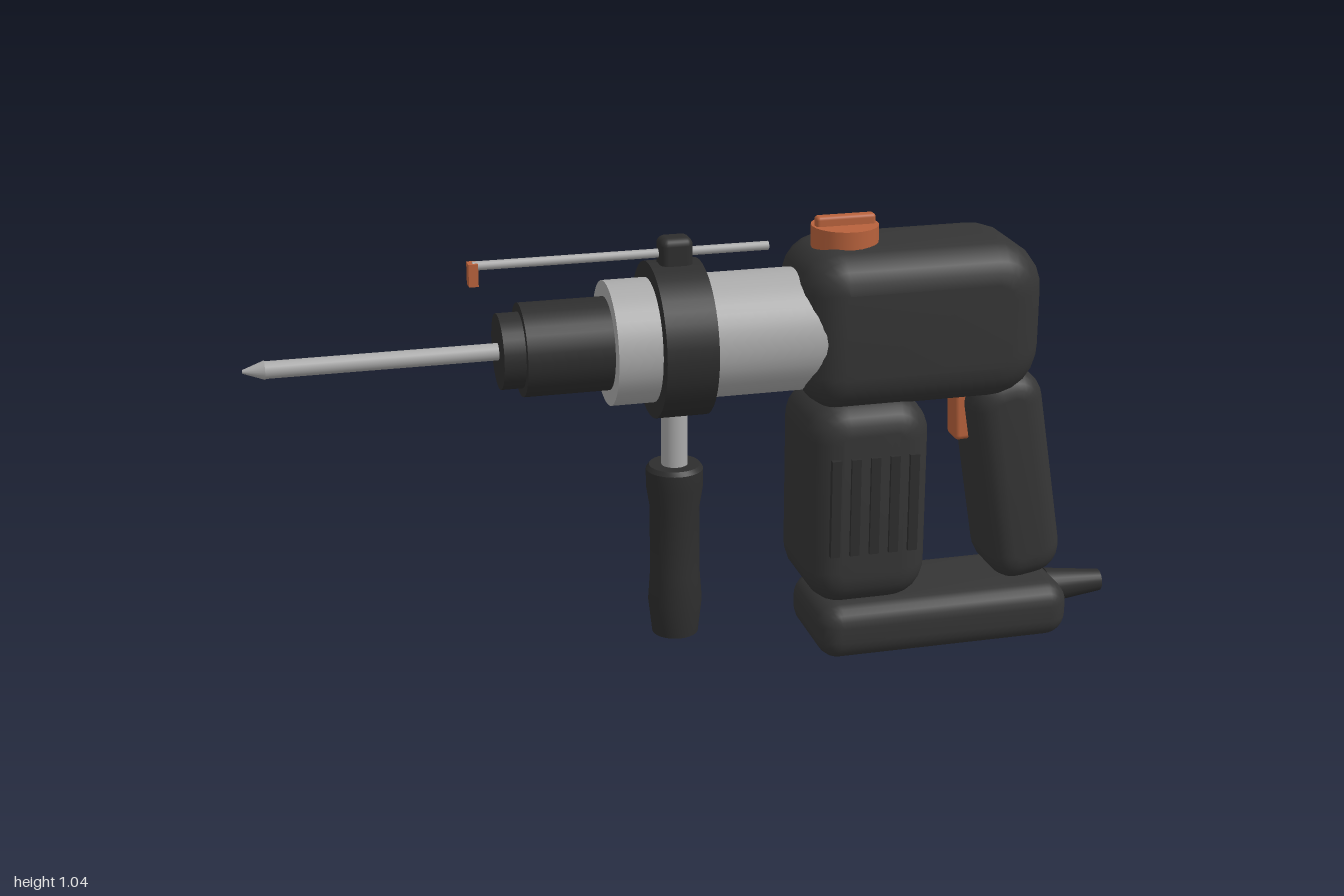
import * as THREE from 'three';
import { toCreasedNormals } from 'three/addons/utils/BufferGeometryUtils.js';
import { RoundedBoxGeometry } from 'three/addons/geometries/RoundedBoxGeometry.js';

const material = (name, color) => {
  const m = new THREE.MeshStandardMaterial({ color });
  m.name = name;
  return m;
};

// Rounded-rectangle block, softened towards its front and back faces
function softBlock(w, h, d, rLeft, rRight, bevel) {
  const x = w / 2 - bevel, y = h / 2 - bevel;
  const a = rLeft - bevel, b = rRight - bevel;
  const s = new THREE.Shape();
  s.moveTo(-x + a, -y);
  s.lineTo(x - b, -y);
  s.quadraticCurveTo(x, -y, x, -y + b);
  s.lineTo(x, y - b);
  s.quadraticCurveTo(x, y, x - b, y);
  s.lineTo(-x + a, y);
  s.quadraticCurveTo(-x, y, -x, y - a);
  s.lineTo(-x, -y + a);
  s.quadraticCurveTo(-x, -y, -x + a, -y);
  const g = new THREE.ExtrudeGeometry(s, {
    depth: d - 2 * bevel, bevelEnabled: true, bevelSize: bevel,
    bevelThickness: bevel, bevelSegments: 5, curveSegments: 6,
  });
  g.translate(0, 0, -(d - 2 * bevel) / 2);
  return toCreasedNormals(g, 0.7);
}

export function createModel() {
  const model = new THREE.Group();
  model.name = 'rotaryHammer';
  const dark = material('charcoal plastic', 0x353535);
  const black = material('black rubber', 0x2e2e2e);
  const steel = material('steel', 0xaaaaaa);
  const orange = material('burnt orange', 0xb8623c);

  const add = (name, geometry, mat, x, y, z = 0) => {
    const mesh = new THREE.Mesh(geometry, mat);
    mesh.name = name;
    mesh.position.set(x, y, z);
    model.add(mesh);
    return mesh;
  };
  // Round part along x, from x0 (radius r0) to x1 (radius r1)
  const roundX = (name, mat, x0, x1, r0, r1, y, sides = 32) => add(name,
    new THREE.CylinderGeometry(r0, r1, x1 - x0, sides).rotateZ(Math.PI / 2), mat, (x0 + x1) / 2, y);

  // Body, motor, rear grip and base
  add('gearHousing', softBlock(0.56, 0.365, 0.3, 0.092, 0.12, 0.085), dark, 0.495, 0.793);
  add('motorHousing', softBlock(0.287, 0.49, 0.286, 0.09, 0.09, 0.07), dark, 0.373, 0.385);
  add('rearHandle', softBlock(0.18, 0.517, 0.196, 0.075, 0.075, 0.055), dark, 0.746, 0.397).rotation.z = 0.165;
  add('base', softBlock(0.615, 0.136, 0.27, 0.056, 0.056, 0.05), dark, 0.567, 0.068);
  roundX('cordSleeve', black, 0.86, 1, 0.043, 0.026, 0.08, 24);

  // Vent ribs on the front of the motor
  for (let i = 0; i < 5; i++) {
    add('ventRib', new THREE.BoxGeometry(0.022, 0.233, 0.05), black, 0.283 + i * 0.046, 0.392, 0.126);
  }

  // Trigger
  add('trigger', new RoundedBoxGeometry(0.06, 0.15, 0.06, 3, 0.012), orange, 0.633, 0.56).rotation.z = 0.05;

  // Barrel, collar, chuck and bit
  const axis = 0.78;
  roundX('barrel', steel, -0.21, 0.26, 0.139, 0.139, axis, 40);
  roundX('collar', black, -0.112, 0.004, 0.175, 0.175, axis, 40);
  roundX('chuck', black, -0.402, -0.2, 0.104, 0.104, axis);
  roundX('chuckNose', black, -0.45, -0.39, 0.084, 0.084, axis);
  roundX('bitShaft', steel, -0.953, -0.44, 0.019, 0.019, axis, 20);
  roundX('bitTip', steel, -1, -0.953, 0.004, 0.021, axis, 20);

  // Side handle
  add('sideHandleRod', new THREE.CylinderGeometry(0.03, 0.03, 0.2, 24), steel, -0.055, 0.54);
  const gripProfile = [[0, 0.07], [0.053, 0.07], [0.062, 0.15], [0.057, 0.22], [0.057, 0.38], [0.065, 0.43],
    [0.065, 0.472], [0.058, 0.482], [0, 0.482]].map(([r, y]) => new THREE.Vector2(r, y));
  add('sideHandleGrip', toCreasedNormals(new THREE.LatheGeometry(gripProfile, 28), 0.6), black, -0.055, 0);

  // Depth gauge
  add('gaugeClamp', new RoundedBoxGeometry(0.075, 0.085, 0.06, 3, 0.018), black, -0.053, 0.971);
  roundX('gaugeRod', steel, -0.5, 0.16, 0.01, 0.01, 0.977, 16);
  add('gaugeStop', new THREE.BoxGeometry(0.021, 0.05, 0.03), orange, -0.5, 0.959);

  // Mode dial
  add('modeDial', new THREE.CylinderGeometry(0.076, 0.076, 0.06, 24), orange, 0.337, 0.984);
  add('dialGrip', new RoundedBoxGeometry(0.138, 0.04, 0.028, 3, 0.008), orange, 0.337, 1.016);

  return model;
}
